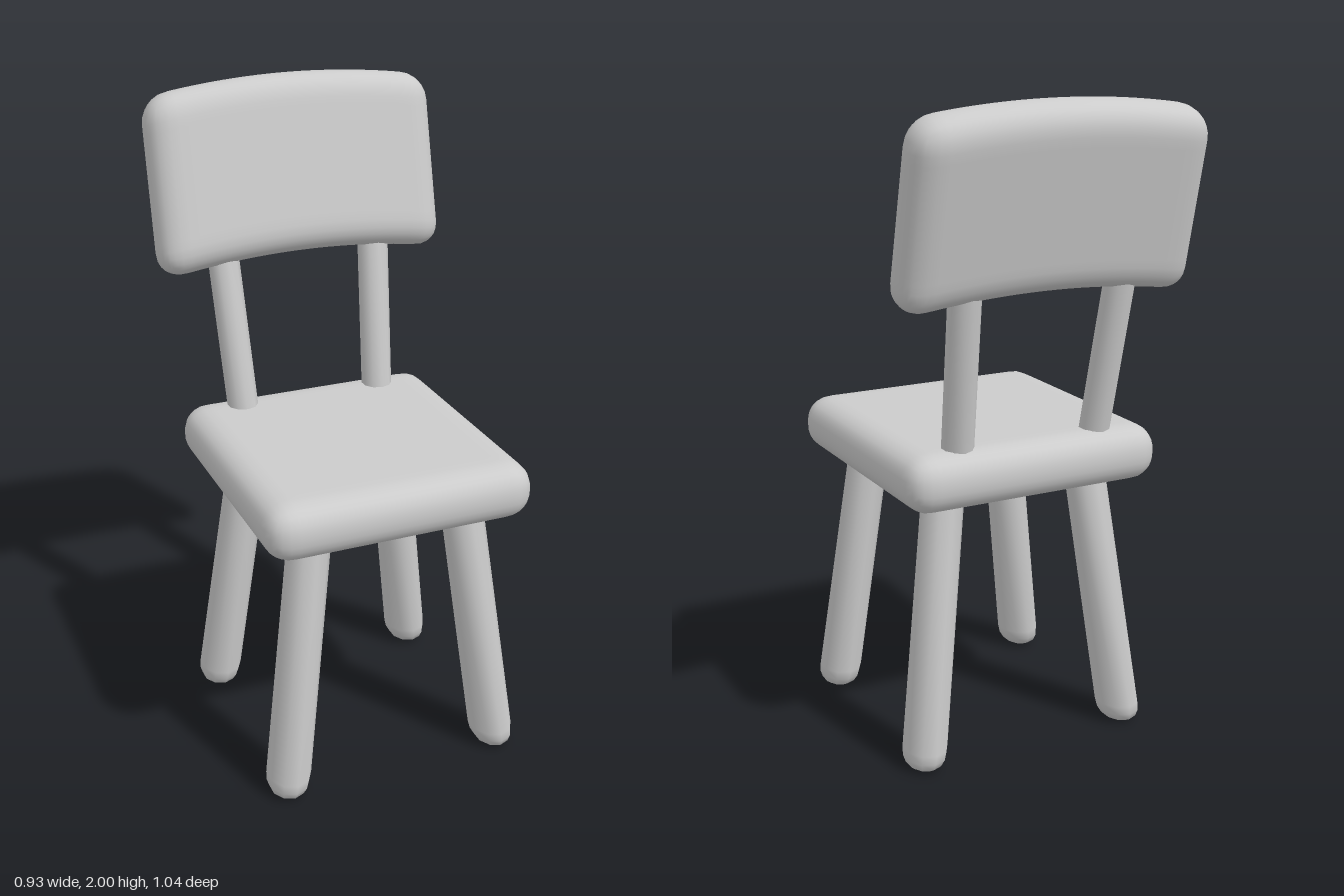
import * as THREE from 'three';
import { mergeVertices } from 'three/addons/utils/BufferGeometryUtils.js';

const material = new THREE.MeshStandardMaterial({ color: 0xcccccc });

// Box with rounded edges, subdivided so that it can be bent
function cushion(w, h, d, r, nx, ny, nz) {
  const geo = new THREE.BoxGeometry(w, h, d, nx, ny, nz);
  const pos = geo.attributes.position;
  const inner = new THREE.Vector3(w / 2 - r, h / 2 - r, d / 2 - r);
  const low = inner.clone().negate();
  const p = new THREE.Vector3(), core = new THREE.Vector3();
  for (let i = 0; i < pos.count; i++) {
    p.fromBufferAttribute(pos, i);
    core.copy(p).clamp(low, inner);
    p.sub(core).setLength(r).add(core);
    pos.setXYZ(i, p.x, p.y, p.z);
  }
  return smooth(geo);
}

function smooth(geo) {
  geo.deleteAttribute('uv');
  geo.deleteAttribute('normal');
  const merged = mergeVertices(geo, 1e-4);
  merged.computeVertexNormals();
  return merged;
}

// Slanted ten-sided post from a to b; ra and rb are [x, z] radii
function post(a, b, ra, rb, profile) {
  const geo = new THREE.LatheGeometry(profile.map(([x, y]) => new THREE.Vector2(x, y)), 10);
  const pos = geo.attributes.position;
  const { lerp } = THREE.MathUtils;
  for (let i = 0; i < pos.count; i++) {
    const t = pos.getY(i);
    pos.setXYZ(i,
      lerp(a[0], b[0], t) + pos.getX(i) * lerp(ra[0], rb[0], t),
      lerp(a[1], b[1], t),
      lerp(a[2], b[2], t) + pos.getZ(i) * lerp(ra[1], rb[1], t));
  }
  return smooth(geo);
}

export function createModel() {
  const chair = new THREE.Group();
  chair.name = 'chair';
  const add = (name, geo) => {
    const mesh = new THREE.Mesh(geo, material);
    mesh.name = name;
    chair.add(mesh);
    return mesh;
  };

  // Seat
  add('seat', cushion(0.84, 0.175, 0.87, 0.08, 28, 8, 28)).position.set(0, 0.9125, 0.085);

  // Backrest: arched upwards in the middle, then leaned back
  const back = cushion(0.93, 0.55, 0.17, 0.08, 32, 20, 8);
  const pos = back.attributes.position;
  for (let i = 0; i < pos.count; i++) {
    const x = pos.getX(i);
    pos.setY(i, pos.getY(i) - 0.035 * (x / 0.43) ** 2);
    pos.setX(i, x * (1 - 0.015 * pos.getY(i)));
  }
  back.computeVertexNormals();
  const backrest = add('backrest', back);
  backrest.position.set(0, 1.73, -0.39);
  backrest.rotation.x = -0.23;

  // Splayed legs with rounded feet, and the two backrest posts
  const foot = [[0, 0], [0.55, 0.003], [0.8, 0.016], [0.95, 0.04], [1, 0.07], [1, 1]];
  const open = [[1, 0], [1, 1]];
  for (const [side, s] of [['left', 1], ['right', -1]]) {
    add(side + 'FrontLeg', post([0.352 * s, 0, 0.423], [0.235 * s, 0.92, 0.353],
      [0.067, 0.085], [0.065, 0.065], foot));
    add(side + 'BackLeg', post([0.352 * s, 0, -0.245], [0.235 * s, 0.92, -0.172],
      [0.067, 0.085], [0.065, 0.065], foot));
    add(side + 'BackPost', post([0.23 * s, 0.93, -0.239], [0.259 * s, 1.6, -0.367],
      [0.049, 0.049], [0.049, 0.049], open));
  }
  return chair;
}
